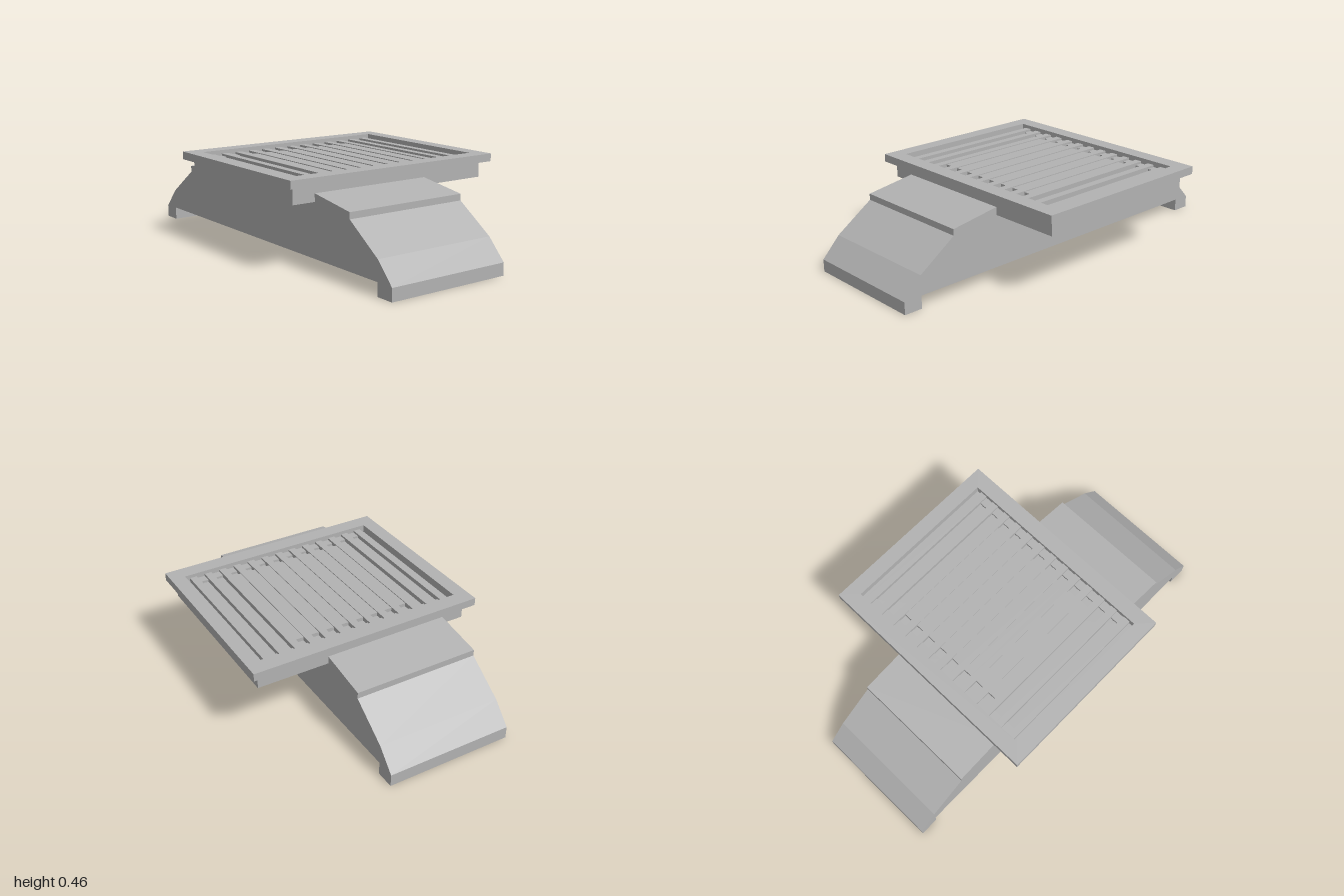
import * as THREE from 'three';

const grey = new THREE.MeshStandardMaterial({ color: 0xb2b2b2 });
grey.name = 'grey';

function box(name, x0, x1, y0, y1, z0, z1) {
  const m = new THREE.Mesh(new THREE.BoxGeometry(x1 - x0, y1 - y0, z1 - z0), grey);
  m.position.set((x0 + x1) / 2, (y0 + y1) / 2, (z0 + z1) / 2);
  m.name = name;
  return m;
}

const rect = (shape, x, z) =>
  shape.moveTo(-x, -z).lineTo(x, -z).lineTo(x, z).lineTo(-x, z).closePath();

// Rectangular ring lying flat, from y0 to y1
function ring(name, outer, inner, y0, y1) {
  const shape = rect(new THREE.Shape(), ...outer);
  shape.holes.push(rect(new THREE.Path(), ...inner));
  const g = new THREE.ExtrudeGeometry(shape, { depth: y1 - y0, bevelEnabled: false });
  g.rotateX(-Math.PI / 2).translate(0, y0, 0);
  const m = new THREE.Mesh(g, grey);
  m.name = name;
  return m;
}

export function createModel() {
  const model = new THREE.Group();
  model.name = 'rampWithTray';

  // Ramp body: symmetric side profile extruded across x
  const half = [[0.905, 0.065], [0.905, 0], [1, 0], [1, 0.063], [0.905, 0.165],
    [0.71, 0.3], [0.71, 0.332], [0.45, 0.372], [0.24, 0.404]];
  const points = [...half, ...half.map(([z, y]) => [-z, y]).reverse()]
    .map(([z, y]) => new THREE.Vector2(z, y));
  const bodyGeo = new THREE.ExtrudeGeometry(new THREE.Shape(points), { depth: 0.657, bevelEnabled: false });
  bodyGeo.rotateY(-Math.PI / 2).translate(0.203, 0, 0);
  const body = new THREE.Mesh(bodyGeo, grey);
  body.name = 'rampBody';
  model.add(body);

  // Tray: rim, skirt below it and a thin floor
  const tray = new THREE.Group();
  tray.name = 'tray';
  tray.add(ring('rim', [0.615, 0.495], [0.54, 0.415], 0.415, 0.455));
  tray.add(ring('skirt', [0.575, 0.45], [0.5, 0.37], 0.332, 0.415));
  tray.add(box('trayFloor', -0.55, 0.55, 0.405, 0.414, -0.43, 0.43));
  model.add(tray);

  // Ribs along z, with stepped notches at the ends of the grooves
  const ribs = new THREE.Group();
  ribs.name = 'ribs';
  const pitch = 0.0825, ribHalf = 0.019, top = 0.437;
  for (let i = -6; i <= 6; i++) {
    const x = i * pitch;
    ribs.add(box('rib', x - ribHalf, x + ribHalf, 0.412, top, -0.415, 0.415));
  }
  for (let i = -5.5; i <= 5.5; i++) {
    const x0 = i * pitch - 0.0225, x1 = i * pitch + 0.0225;
    if (Math.abs(i) < 4) ribs.add(box('grooveFloor', x0, x1, 0.412, top - 0.004, -0.33, 0.33));
    for (const s of [-1, 1]) {
      ribs.add(box('notchStep', x0, x1, 0.412, 0.426, s * 0.393 - 0.022, s * 0.393 + 0.022));
    }
  }
  model.add(ribs);
  return model;
}
